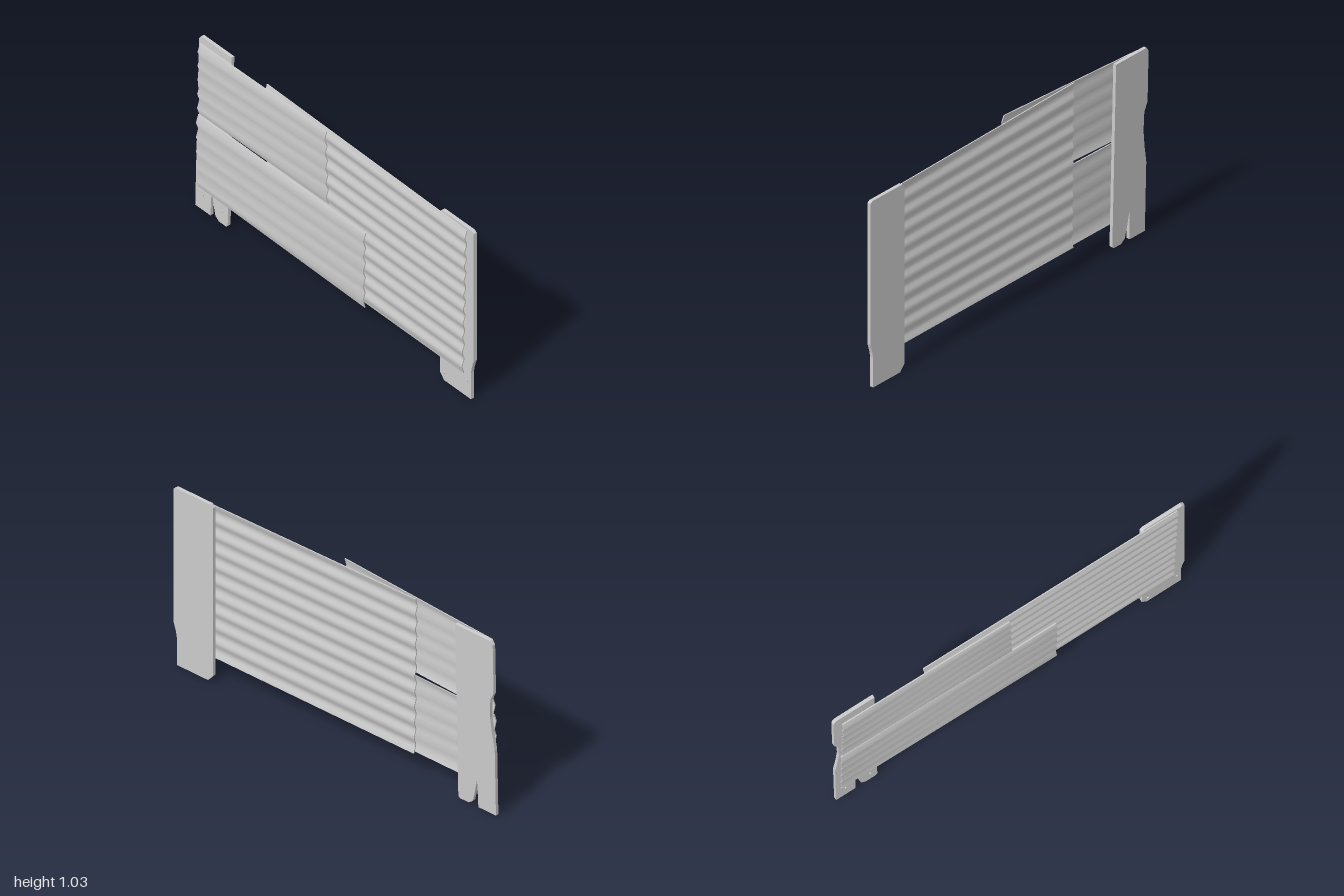
import * as THREE from 'three';
import { toCreasedNormals } from 'three/addons/utils/BufferGeometryUtils.js';

const material = new THREE.MeshStandardMaterial({ color: 0xcccccc });

// Corrugated sheet: a wavy strip extruded along x, then fitted to four corners
// [x, y, z] given as bottom left, bottom right, top right, top left.
function sheet(name, waves, steps, height, corners) {
  const thick = 0.006;
  const count = waves * steps;
  const front = [], back = [];
  for (let i = 0; i <= count; i++) {
    const z = -height / 2 * Math.cos(2 * Math.PI * i / steps);
    front.push(new THREE.Vector2(-z - thick / 2, i / count));
    back.push(new THREE.Vector2(-z + thick / 2, i / count));
  }
  const shape = new THREE.Shape([...front, ...back.reverse()]);
  const geo = new THREE.ExtrudeGeometry(shape, { depth: 1, bevelEnabled: false });
  geo.rotateY(Math.PI / 2);
  const [a, b, c, d] = corners.map(p => new THREE.Vector3(...p));
  const pos = geo.attributes.position;
  const low = new THREE.Vector3(), high = new THREE.Vector3();
  for (let i = 0; i < pos.count; i++) {
    low.lerpVectors(a, b, pos.getX(i));
    high.lerpVectors(d, c, pos.getX(i));
    low.lerp(high, pos.getY(i));
    pos.setXYZ(i, low.x, low.y, low.z + pos.getZ(i));
  }
  const mesh = new THREE.Mesh(toCreasedNormals(geo, Math.PI / 3), material);
  mesh.name = name;
  return mesh;
}

// Worn plank post with nails through its foot
function post(name, outline, depth, nails) {
  const group = new THREE.Group();
  group.name = name;
  const shape = new THREE.Shape(outline.map(p => new THREE.Vector2(...p)));
  const geo = new THREE.ExtrudeGeometry(shape, { depth, bevelEnabled: false });
  geo.translate(0, 0, -depth / 2);
  const plank = new THREE.Mesh(geo, material);
  plank.name = name + 'Plank';
  group.add(plank);
  for (const [x, y] of nails) {
    const nail = new THREE.Mesh(new THREE.CylinderGeometry(0.006, 0.006, 0.008, 8), material);
    nail.name = 'nail';
    nail.rotation.x = Math.PI / 2;
    nail.position.set(x, y, depth / 2 + 0.002);
    group.add(nail);
  }
  return group;
}

export function createModel() {
  const model = new THREE.Group();
  model.name = 'corrugatedFence';

  // Split, leaning post
  const splitPost = post('splitPost', [
    [-1, 0.01], [-0.89, 0.01], [-0.885, 0.17], [-0.868, 0.08], [-0.855, 0.03],
    [-0.83, 0.01], [-0.775, 0.01], [-0.765, 0.02], [-0.765, 1.02], [-0.985, 1.02],
    [-1, 1.0], [-1, 0.72], [-0.978, 0.67], [-0.975, 0.57], [-0.985, 0.48], [-1, 0.39],
  ], 0.018, [[-0.945, 0.1], [-0.805, 0.085]]);
  splitPost.position.z = -0.006;
  splitPost.rotation.x = -0.024;
  model.add(splitPost);

  // Upright post
  const uprightPost = post('uprightPost', [
    [0.785, 0], [0.98, 0], [0.98, 0.16], [0.985, 0.19], [1, 0.24], [1, 1.005],
    [0.985, 1.015], [0.77, 1.015], [0.755, 1.0], [0.755, 0.035],
  ], 0.019, [[0.79, 0.05], [0.955, 0.1]]);
  uprightPost.position.z = -0.0235;
  model.add(uprightPost);

  // Large rear sheet and the two overlapping front sheets
  model.add(sheet('rearSheet', 10, 6, 0.012, [
    [-0.485, 0.135, -0.006], [0.93, 0.13, -0.006], [0.955, 1.0, -0.005], [-0.495, 1.027, -0.005],
  ]));
  model.add(sheet('upperFrontSheet', 5, 2, 0.014, [
    [-0.97, 0.575, 0.008], [-0.015, 0.605, 0.024], [-0.025, 1.035, 0.028], [-0.965, 1.0, 0.008],
  ]));
  model.add(sheet('lowerFrontSheet', 5, 2, 0.014, [
    [-0.975, 0.138, 0.01], [0.243, 0.13, 0.019], [0.247, 0.578, 0.019], [-0.975, 0.57, 0.01],
  ]));
  return model;
}
